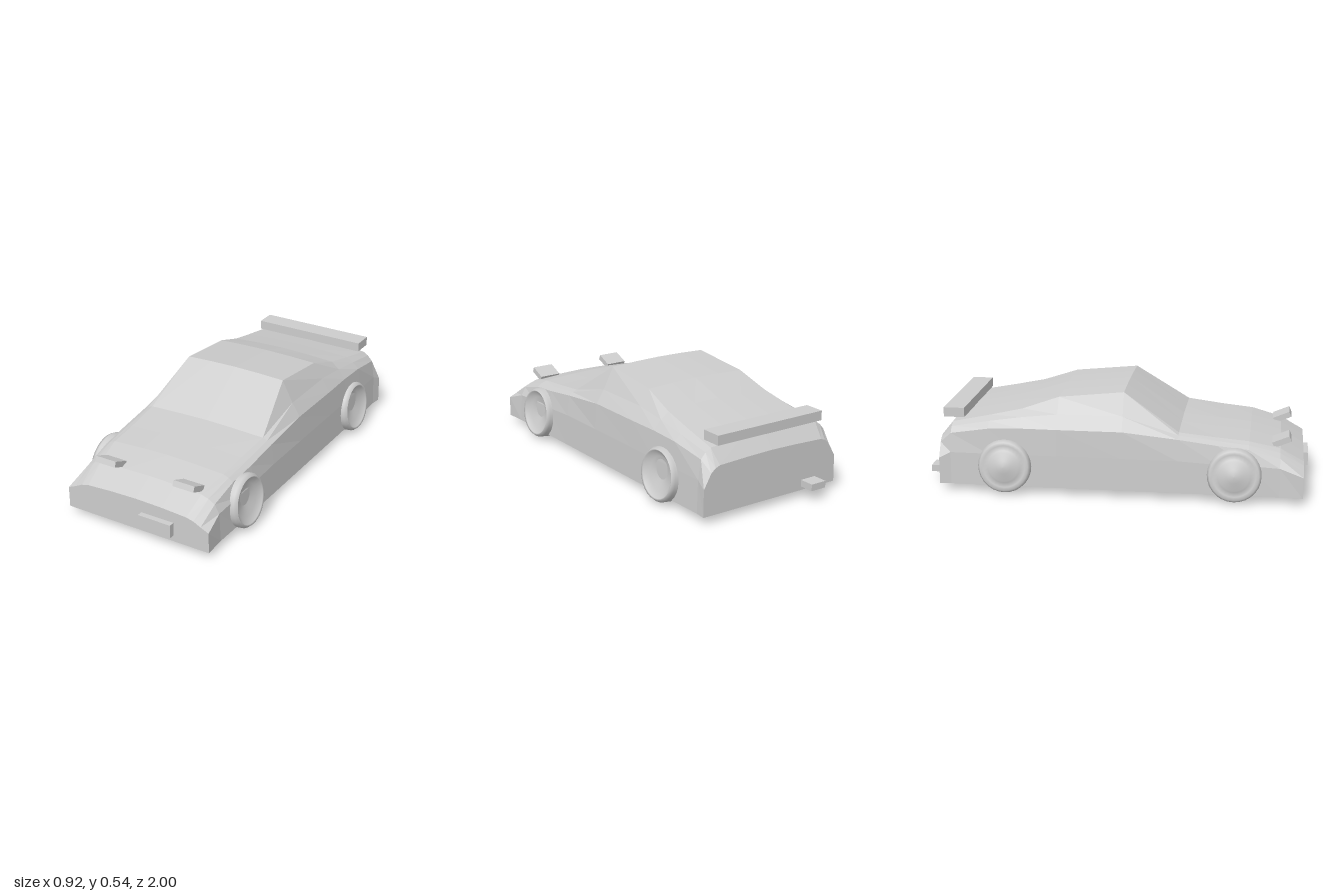
import * as THREE from 'three';

const paint = new THREE.MeshStandardMaterial({ color: 0xcccccc, flatShading: true });
paint.name = 'light grey';
const smooth = new THREE.MeshStandardMaterial({ color: 0xcccccc, side: THREE.DoubleSide });
smooth.name = 'light grey wheel';

// Body stations from nose to tail: z, centre height, then x,y of
// top edge, window waist, shoulder and lower side; last value is sill half-width
const stations = [
  [0.97, 0.212, 0.29, 0.20, 0.33, 0.19, 0.37, 0.17, 0.415, 0.15, 0.415],
  [0.85, 0.28, 0.30, 0.268, 0.34, 0.255, 0.375, 0.235, 0.40, 0.19, 0.408],
  [0.69, 0.32, 0.325, 0.307, 0.355, 0.295, 0.38, 0.278, 0.405, 0.20, 0.41],
  [0.53, 0.335, 0.33, 0.322, 0.36, 0.312, 0.388, 0.295, 0.405, 0.20, 0.41],
  [0.33, 0.355, 0.34, 0.345, 0.365, 0.335, 0.39, 0.32, 0.405, 0.21, 0.41],
  [0.04, 0.543, 0.29, 0.535, 0.35, 0.42, 0.395, 0.35, 0.405, 0.21, 0.41],
  [-0.30, 0.508, 0.295, 0.50, 0.35, 0.42, 0.397, 0.35, 0.405, 0.21, 0.41],
  [-0.49, 0.448, 0.31, 0.435, 0.355, 0.40, 0.395, 0.35, 0.405, 0.21, 0.41],
  [-0.66, 0.41, 0.32, 0.398, 0.36, 0.375, 0.395, 0.343, 0.405, 0.21, 0.41],
  [-0.86, 0.37, 0.33, 0.358, 0.36, 0.34, 0.387, 0.31, 0.403, 0.21, 0.408],
  [-0.92, 0.295, 0.32, 0.285, 0.345, 0.275, 0.37, 0.255, 0.413, 0.18, 0.415],
];

function bodyGeometry() {
  const positions = [], index = [];
  let n = 0;
  for (const [z, yc, ex, ey, wx, wy, sx, sy, mx, my, bx] of stations) {
    const half = [[bx, 0.04], [mx, my], [sx, sy], [wx, wy], [ex, ey], [0.15, yc - (yc - ey) * 0.3]];
    const ring = [...half, [0, yc], ...half.slice().reverse().map(([x, y]) => [-x, y])];
    n = ring.length;
    ring.forEach(([x, y]) => positions.push(x, y, z));
  }
  const last = (stations.length - 1) * n;
  for (let i = 0; i < last; i += n) {
    for (let j = 0; j < n; j++) {
      const k = (j + 1) % n;
      index.push(i + j, i + n + j, i + k, i + k, i + n + j, i + n + k);
    }
  }
  // nose and tail panels
  for (let j = 1; j < n - 1; j++) {
    index.push(0, j, j + 1, last, last + j + 1, last + j);
  }
  const geo = new THREE.BufferGeometry();
  geo.setAttribute('position', new THREE.Float32BufferAttribute(positions, 3));
  geo.setIndex(index);
  geo.computeVertexNormals();
  return geo;
}

// Tyre profile with either a deep dish or a domed hub
const tyre = [[0, -0.065], [0.13, -0.065], [0.139, -0.055], [0.139, 0.045], [0.127, 0.063]];
const dish = [[0.12, 0.058], [0.09, 0.035], [0, 0.02]];
const hub = [[0.11, 0.056], [0.085, 0.06], [0.075, 0.07], [0.035, 0.076], [0.03, 0.083], [0, 0.085]];
function wheelGeometry(face) {
  const pts = [...tyre, ...face].map(([r, h]) => new THREE.Vector2(r, h));
  return new THREE.LatheGeometry(pts, 28);
}

export function createModel() {
  const model = new THREE.Group();
  model.name = 'sportsCar';
  const add = (name, geo, mat, x = 0, y = 0, z = 0) => {
    const mesh = new THREE.Mesh(geo, mat);
    mesh.name = name;
    mesh.position.set(x, y, z);
    model.add(mesh);
    return mesh;
  };
  const box = (name, w, h, d, x, y, z) => add(name, new THREE.BoxGeometry(w, h, d), paint, x, y, z);

  add('body', bodyGeometry(), paint);

  // cambered wheels, wider apart at the ground
  const camber = 0.115;
  for (const side of [1, -1]) {
    const geo = wheelGeometry(side > 0 ? dish : hub);
    for (const [name, z] of [['frontWheel', 0.62], ['rearWheel', -0.57]]) {
      const wheel = add(name, geo, smooth, side * 0.38, 0.147, z);
      wheel.rotation.z = side * (camber - Math.PI / 2);
    }
    // raised headlights
    box('headlight', 0.12, 0.03, 0.095, side * 0.23, 0.298, 0.855).rotation.x = -0.4;
  }

  box('rearSpoiler', 0.65, 0.05, 0.11, 0, 0.405, -0.855);
  box('numberPlate', 0.187, 0.07, 0.04, 0.122, 0.11, 0.98);
  box('exhaust', 0.09, 0.035, 0.1, -0.24, 0.077, -0.95);
  return model;
}
